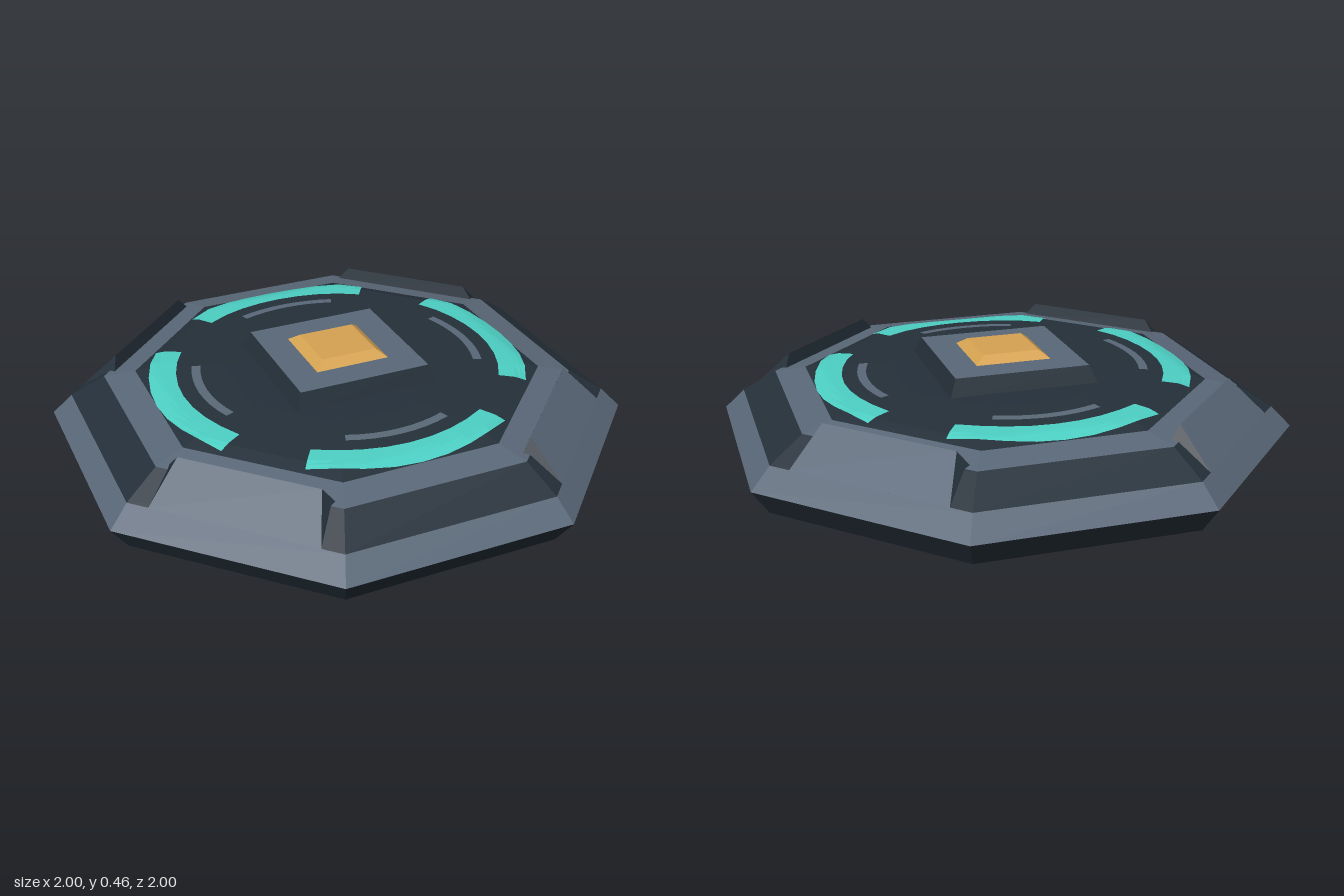
import * as THREE from 'three';

const mat = (name, color) => {
  const m = new THREE.MeshStandardMaterial({ color, flatShading: true, side: THREE.DoubleSide });
  m.name = name;
  return m;
};

// Height of the gently crowned deck at a given octagon apothem
const deckProfile = [[0.7, 0.345], [0.65, 0.36], [0.4, 0.37], [0.25, 0.372]];
function deckY(a) {
  for (let i = 0; i < deckProfile.length - 1; i++) {
    const [a0, y0] = deckProfile[i], [a1, y1] = deckProfile[i + 1];
    if (a >= a1) return y0 + (y1 - y0) * (a0 - a) / (a0 - a1);
  }
  return 0.372;
}

// Curved inlay that follows the deck, spanning angles a0..a1 in one quadrant
function inlay(r0, r1, a0, a1) {
  const g = new THREE.PlaneGeometry(1, 1, 8, 5);
  const p = g.attributes.position;
  for (let i = 0; i < p.count; i++) {
    const t = THREE.MathUtils.degToRad(a0 + (a1 - a0) * (p.getX(i) + 0.5));
    const r = r1 + (r0 - r1) * (p.getY(i) + 0.5);
    const x = r * Math.sin(t), z = r * Math.cos(t);
    const apothem = Math.max(x, z, (x + z) * Math.SQRT1_2);
    p.setXYZ(i, x, deckY(apothem) + 0.005, z);
  }
  g.computeVertexNormals();
  return g;
}

// Flat quads, each given as four corners
function quads(list) {
  const pts = list.flatMap(([a, b, c, d]) => [a, b, c, a, c, d]).flat();
  const g = new THREE.BufferGeometry();
  g.setAttribute('position', new THREE.Float32BufferAttribute(pts, 3));
  g.computeVertexNormals();
  return g;
}

export function createModel() {
  const model = new THREE.Group();
  model.name = 'octagonalPad';
  const grey = mat('slate grey', 0x5a6878);
  const dark = mat('dark slate', 0x25303a);
  const teal = mat('teal light', 0x4dd0c4);
  const gold = mat('gold', 0xd6a352);

  const add = (name, geo, material, parent = model) => {
    const m = new THREE.Mesh(geo, material);
    m.name = name;
    parent.add(m);
    return m;
  };

  // Frustum between two [radius, y] rings; the octagon's flats face the axes
  const frustum = (name, [rb, yb], [rt, yt], material, sides = 8) => {
    const k = sides === 8 ? 1 / Math.cos(Math.PI / 8) : 1;
    const g = new THREE.CylinderGeometry(rt * k, rb * k, yt - yb, sides, 1, true,
      sides === 8 ? Math.PI / 8 : 0);
    add(name, g, material).position.y = (yb + yt) / 2;
  };
  const cap = (name, r, y, material, sides, down = false) => {
    const k = sides === 8 ? 1 / Math.cos(Math.PI / 8) : 1;
    const g = new THREE.CircleGeometry(r * k, sides, sides === 8 ? Math.PI / 8 : 0);
    g.rotateX(down ? Math.PI / 2 : -Math.PI / 2);
    add(name, g, material).position.y = y;
  };

  // Hull
  cap('hullBottom', 0.79, 0, dark, 8, true);
  frustum('lowerHull', [0.79, 0], [0.94, 0.075], dark);
  frustum('hullSide', [0.94, 0.075], [1, 0.17], dark);
  frustum('rimBand', [1, 0.17], [0.93, 0.245], grey);
  frustum('upperSlope', [0.93, 0.245], [0.81, 0.325], dark);
  frustum('deckRing', [0.81, 0.325], [0.7, 0.345], grey);

  // Deck
  for (let i = 0; i < 3; i++) frustum('deck', deckProfile[i], deckProfile[i + 1], dark);
  cap('deckCentre', 0.25, 0.372, dark, 8);

  // Raised armour plate on each of the four main sides
  const fl = [-0.305, 0.245, 0.93], fr = [0.305, 0.245, 0.93];
  const tl = [-0.257, 0.375, 0.8], tr = [0.257, 0.375, 0.8];
  const bl = [-0.3, 0.325, 0.785], br = [0.3, 0.325, 0.785];
  const face = quads([[fl, fr, tr, tl]]);
  const edges = quads([[tl, tr, br, bl], [fl, tl, bl, bl], [fr, br, tr, tr]]);

  const arc = inlay(0.602, 0.703, 12.5, 77.5);
  const thinArc = inlay(0.512, 0.545, 24, 66);
  for (let i = 0; i < 4; i++) {
    const side = new THREE.Group();
    side.name = 'sideSection';
    side.rotation.y = i * Math.PI / 2;
    model.add(side);
    add('armourPlate', face, grey, side);
    add('armourPlateEdges', edges, dark, side);
    add('lightArc', arc, teal, side);
    add('thinArc', thinArc, grey, side);
  }

  // Diamond pedestal with its gold core
  frustum('pedestalSides', [0.392, 0.368], [0.355, 0.433], dark, 4);
  cap('pedestalTop', 0.355, 0.433, grey, 4);
  frustum('coreBevel', [0.2, 0.433], [0.15, 0.46], gold, 4);
  cap('coreTop', 0.15, 0.46, gold, 4);

  return model;
}
